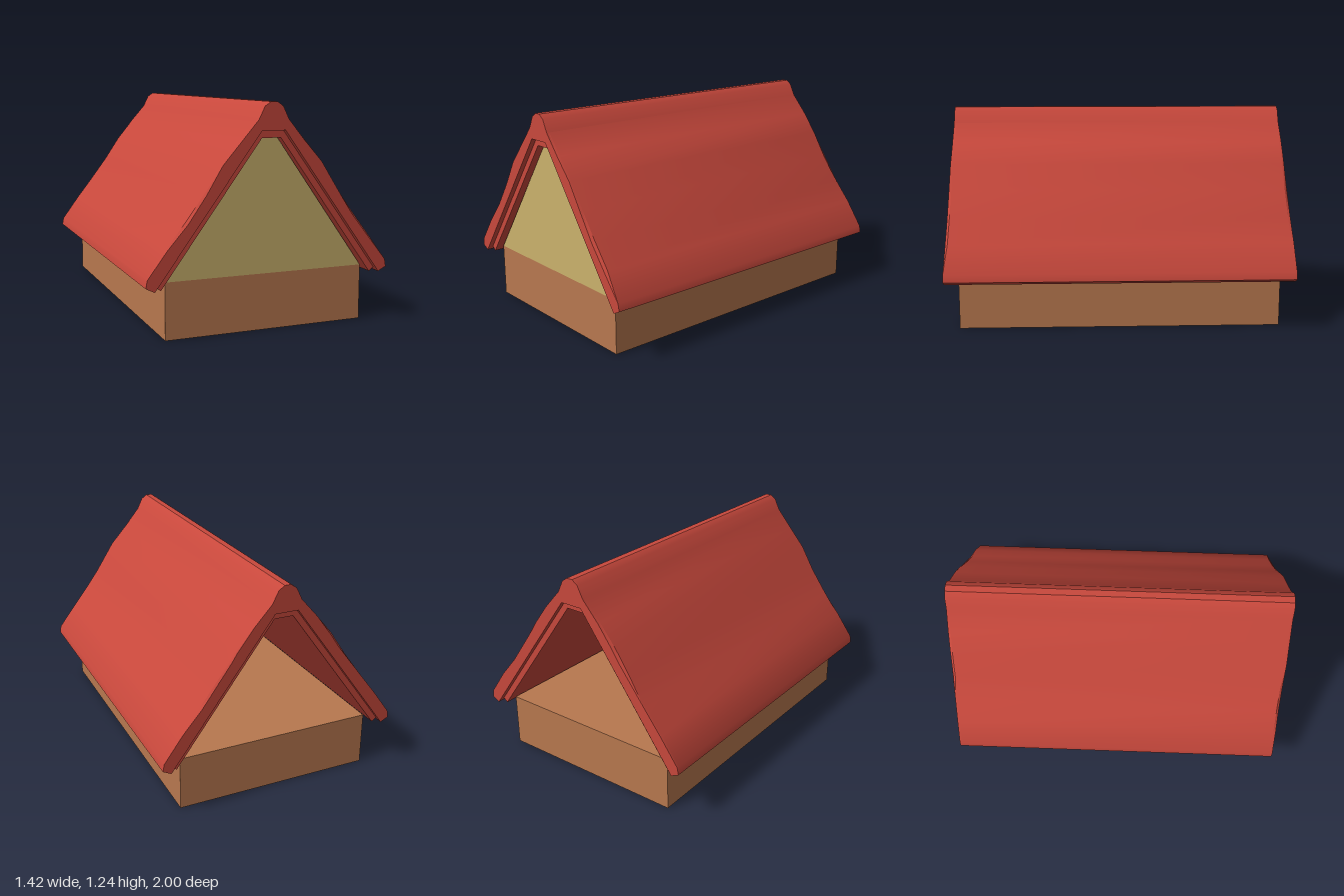
import * as THREE from 'three';
import { toCreasedNormals } from 'three/addons/utils/BufferGeometryUtils.js';

const paint = (color, side = THREE.FrontSide) => new THREE.MeshStandardMaterial({ color, side });

// Closed shape from its right half, mirrored to the left
function mirroredShape(half) {
  const left = half.map(([x, y]) => [-x, y]).reverse();
  return new THREE.Shape([...half, ...left].map(([x, y]) => new THREE.Vector2(x, y)));
}

function add(group, name, geometry, material) {
  const mesh = new THREE.Mesh(geometry, material);
  mesh.name = name;
  group.add(mesh);
  return mesh;
}

export function createModel() {
  const group = new THREE.Group();
  group.name = 'gabledHut';
  const red = paint(0xc8483c);

  // Base: a hollow box, open underneath
  const base = new THREE.BoxGeometry(1.165, 0.313, 1.86);
  const index = Array.from(base.index.array);
  index.splice(18, 6);
  base.setIndex(index);
  base.clearGroups();
  base.translate(0, 0.1565, 0);
  add(group, 'baseWalls', base, paint(0xb8784f, THREE.DoubleSide));

  // Front gable; the back is left open
  const gable = new THREE.ShapeGeometry(mirroredShape([[0.582, 0.313], [0.052, 1.05]]));
  gable.translate(0, 0, 0.93);
  add(group, 'frontGable', gable, paint(0xcbb26c, THREE.DoubleSide));

  // Thin lining under the roof, set back a little at both ends
  const lining = new THREE.ExtrudeGeometry(
    mirroredShape([[0.055, 1.05], [0.618, 0.281], [0.647, 0.303], [0.068, 1.09]]),
    { depth: 1.94, bevelEnabled: false });
  lining.translate(0, 0, -0.97);
  add(group, 'roofLining', lining, red);

  // Gently wavy outer roof with a raised ridge
  const roof = new THREE.ExtrudeGeometry(
    mirroredShape([
      [0.068, 1.09], [0.66, 0.283], [0.708, 0.307], [0.7, 0.35],
      [0.595, 0.497], [0.49, 0.63], [0.385, 0.773], [0.288, 0.917],
      [0.19, 1.035], [0.087, 1.148], [0.053, 1.217], [0.019, 1.241],
    ]),
    { depth: 2, steps: 3, bevelEnabled: false });
  roof.translate(0, 0, -1);
  const p = roof.attributes.position;
  for (let i = 0; i < p.count; i++) {
    const x = p.getX(i), y = p.getY(i), z = p.getZ(i);
    const atEnd = Math.abs(z) > 0.9;
    if (!atEnd) p.setZ(i, Math.sign(z) * 0.985);
    // Worn, uneven edge along the end of each slope
    if (atEnd && Math.abs(x) > 0.1 && y > 0.4) {
      const wear = 0.007 + 0.007 * Math.sin(y * 11 + z + x);
      p.setXY(i, x - Math.sign(x) * 0.8 * wear, y - 0.6 * wear);
    }
  }
  add(group, 'roof', toCreasedNormals(roof, 0.5), red);

  return group;
}
